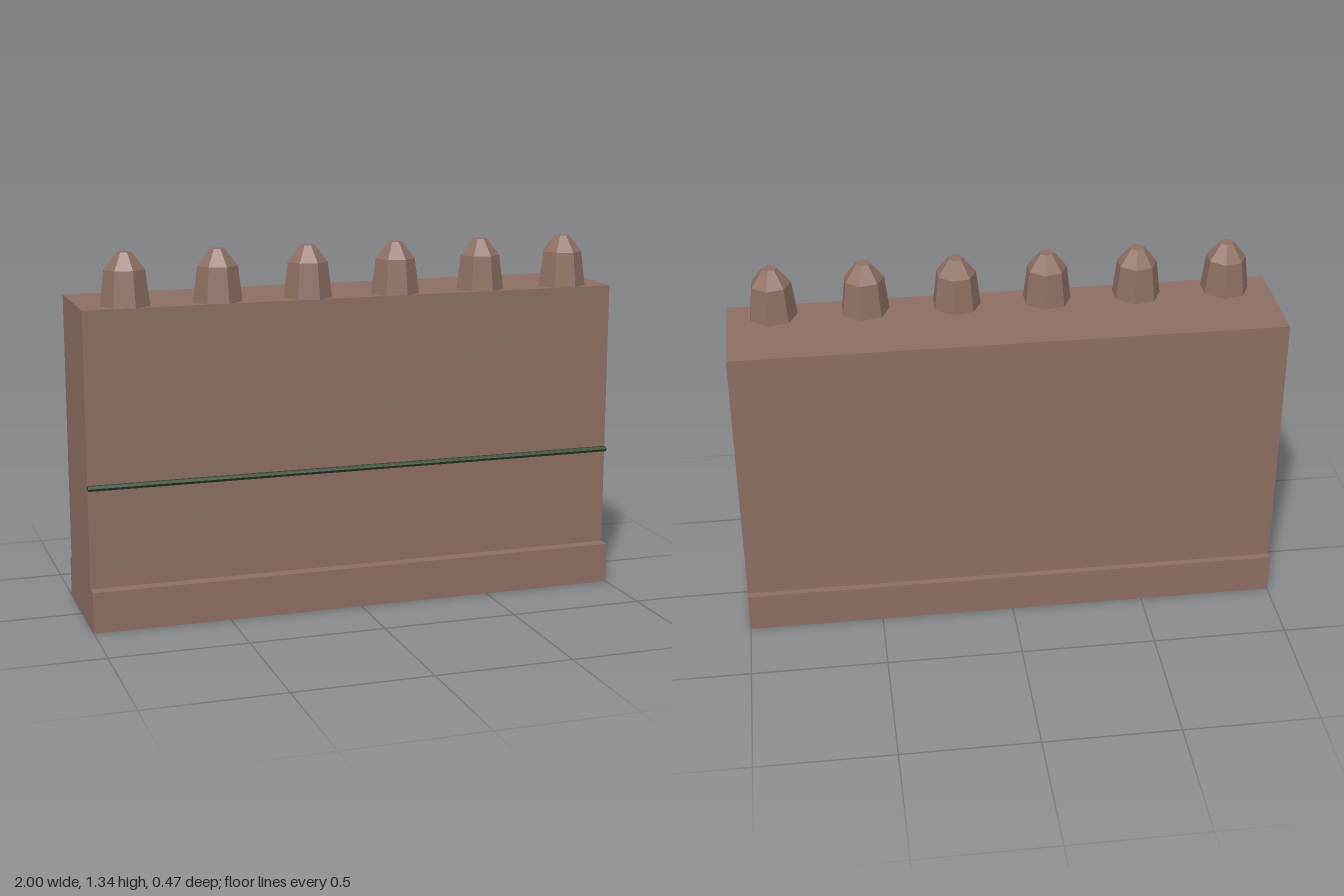
import * as THREE from 'three';

export function createModel() {
  const model = new THREE.Group();
  model.name = 'wallSegment';

  const clay = new THREE.MeshStandardMaterial({ color: 0x8d6e63, flatShading: true });
  clay.name = 'brown clay';
  const vine = new THREE.MeshStandardMaterial({ color: 0x2e4228, flatShading: true });
  vine.name = 'dark green';

  const add = (name, geometry, material, x, y, z) => {
    const mesh = new THREE.Mesh(geometry, material);
    mesh.name = name;
    mesh.position.set(x, y, z);
    model.add(mesh);
    return mesh;
  };

  // Wider footing, with the wall set slightly back on it
  add('footing', new THREE.BoxGeometry(2, 0.15, 0.472), clay, 0, 0.075, 0);
  add('wall', new THREE.BoxGeometry(2, 1, 0.4), clay, 0, 0.65, -0.012);

  // Thin rod along the front face
  const rod = new THREE.CylinderGeometry(0.011, 0.011, 2, 6);
  add('rod', rod, vine, 0, 0.52, 0.197).rotation.z = Math.PI / 2;

  // Seven-sided blunt stakes along the front edge of the top
  const profile = [[0, 0], [0.09, 0], [0.074, 0.128], [0.027, 0.188], [0, 0.188]]
    .map(([r, y]) => new THREE.Vector2(r, y));
  const stake = new THREE.LatheGeometry(profile, 7);
  stake.rotateY(-Math.PI / 2);
  for (let i = 0; i < 6; i++) {
    add('stake' + (i + 1), stake, clay, (i - 2.5) / 3, 1.15, 0.112);
  }

  return model;
}
